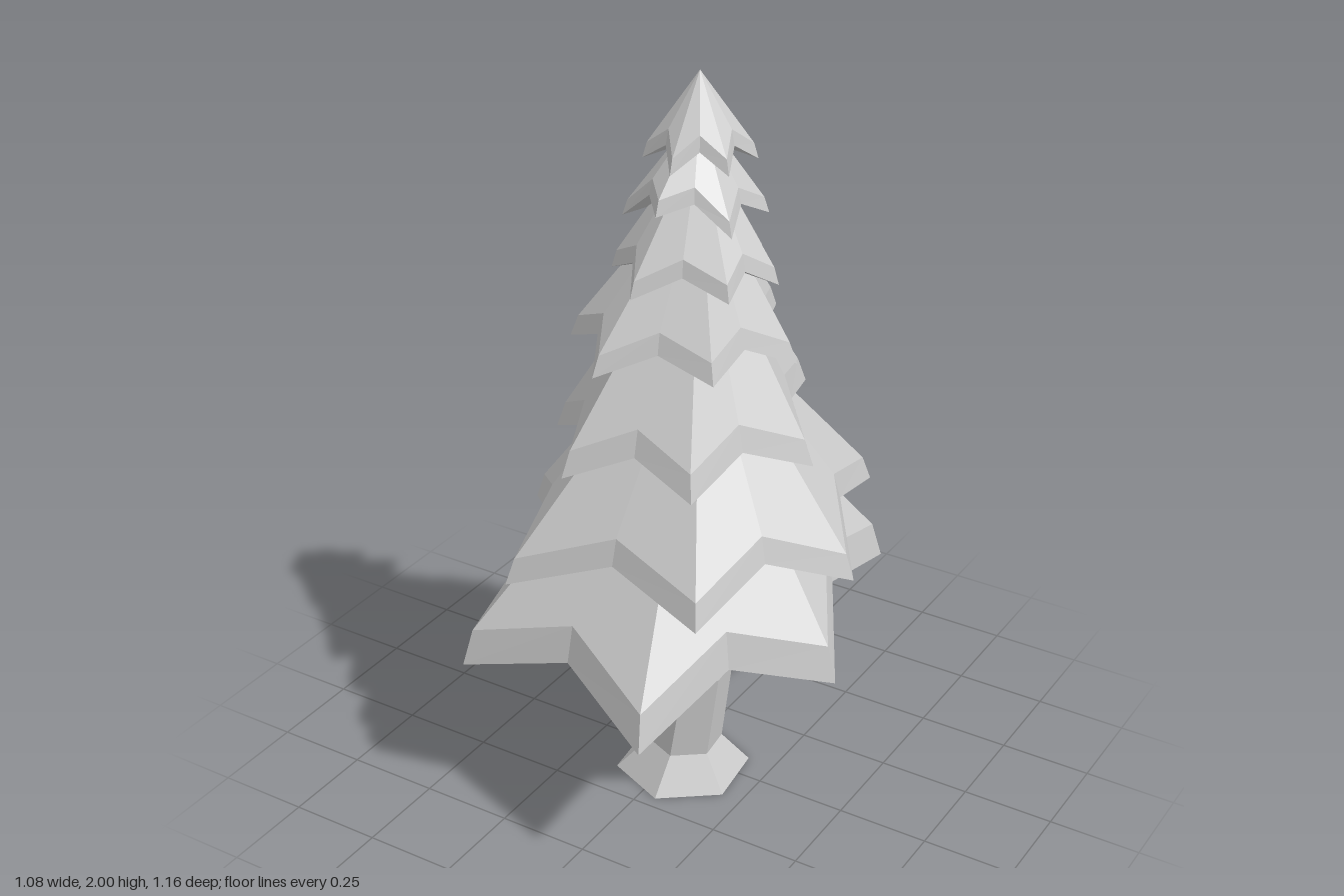
import * as THREE from 'three';

const material = new THREE.MeshStandardMaterial({ color: 0xcccccc, flatShading: true });
const v = (x, y, z) => new THREE.Vector3(x, y, z);

// Skin a stack of rings (bottom to top) and close both ends with a fan.
function loft(name, rings, bottom, top) {
  const pos = [];
  const tri = (...pts) => pts.forEach((p) => pos.push(p.x, p.y, p.z));
  const n = rings[0].length;
  for (let i = 0; i < n; i++) {
    const j = (i + 1) % n;
    tri(rings[0][i], rings[0][j], bottom);
    for (let k = 0; k + 1 < rings.length; k++) {
      const a = rings[k], b = rings[k + 1];
      tri(a[j], a[i], b[i]);
      tri(a[j], b[i], b[j]);
    }
    const last = rings[rings.length - 1];
    tri(last[j], last[i], top);
  }
  const geo = new THREE.BufferGeometry();
  geo.setAttribute('position', new THREE.Float32BufferAttribute(pos, 3));
  geo.computeVertexNormals();
  const mesh = new THREE.Mesh(geo, material);
  mesh.name = name;
  return mesh;
}

// Six evenly spaced [x, y, z] points around a centre.
function hexagon(cx, y, cz, r, degrees) {
  return Array.from({ length: 6 }, (_, i) => {
    const a = THREE.MathUtils.degToRad(degrees + i * 60);
    return [cx + r * Math.cos(a), y, cz + r * Math.sin(a)];
  });
}

// A drooping star-shaped skirt: rim, bevel band, then a slope to the apex.
function branchTier(name, { tips, lift, band, shrink, valley, apex }) {
  const points = tips.map((t) => v(...t));
  const centre = points.reduce((sum, p) => sum.add(p), v(0, 0, 0)).divideScalar(6);
  const inward = (p, s, up) =>
    v(centre.x + (p.x - centre.x) * s, p.y + up, centre.z + (p.z - centre.z) * s);
  const rim = points.flatMap((p, i) => {
    const middle = p.clone().lerp(points[(i + 1) % 6], 0.5);
    return [p, inward(middle, valley, lift)];
  });
  const crease = rim.map((p) => inward(p, shrink, band));
  return loft(name, [rim, crease], inward(centre, 1, lift), v(0.05, apex, 0));
}

export function createModel() {
  const tree = new THREE.Group();
  tree.name = 'pineTree';

  // Bent trunk with a flared foot: [x, y, z, radius]
  const sections = [
    [0.025, 0, 0.035, 0.183], [0.04, 0.1, 0.047, 0.1],
    [0.08, 0.35, 0.05, 0.094], [0.05, 0.6, 0.035, 0.094],
  ];
  const rings = sections.map(([x, y, z, r]) => hexagon(x, y, z, r, 23).map((p) => v(...p)));
  tree.add(loft('trunk', rings, v(0.025, 0, 0.035), v(0.05, 0.62, 0.035)));

  // Branch tiers from the ground up
  const tiers = [
    { tips: [[-0.2, 0.48, -0.585], [0.38, 0.55, -0.42], [0.535, 0.5, 0.13],
      [0.23, 0.44, 0.58], [-0.365, 0.45, 0.495], [-0.54, 0.415, 0.03]],
      lift: 0.1, band: 0.1, shrink: 0.95, valley: 0.85, apex: 1.25 },
    { tips: [[-0.175, 0.755, -0.47], [0.32, 0.755, -0.455], [0.525, 0.75, 0.03],
      [0.32, 0.76, 0.46], [-0.24, 0.72, 0.465], [-0.4, 0.75, 0.09]],
      lift: 0.09, band: 0.07, shrink: 0.95, valley: 0.86, apex: 1.4 },
    { tips: [[-0.18, 1.08, -0.26], [0.18, 1.07, -0.33], [0.39, 1.03, 0.01],
      [0.24, 1.04, 0.35], [-0.11, 1.03, 0.39], [-0.3, 1.01, 0.13]],
      lift: 0.07, band: 0.07, shrink: 0.93, valley: 0.85, apex: 1.64 },
    { tips: [[-0.15, 1.32, -0.16], [0.12, 1.3, -0.27], [0.315, 1.28, -0.03],
      [0.235, 1.31, 0.24], [-0.06, 1.29, 0.32], [-0.23, 1.3, 0.16]],
      lift: 0.055, band: 0.055, shrink: 0.93, valley: 0.84, apex: 1.74 },
    { tips: [[-0.11, 1.48, -0.12], [0.13, 1.46, -0.19], [0.27, 1.49, -0.01],
      [0.235, 1.5, 0.17], [0.01, 1.49, 0.255], [-0.13, 1.495, 0.12]],
      lift: 0.05, band: 0.045, shrink: 0.94, valley: 0.84, apex: 1.84 },
    { tips: [[-0.1, 1.63, -0.09], [0.06, 1.64, -0.17], [0.2, 1.64, -0.08],
      [0.2, 1.635, 0.1], [0.04, 1.685, 0.185], [-0.11, 1.63, 0.1]],
      lift: 0.05, band: 0.04, shrink: 0.93, valley: 0.82, apex: 1.9 },
    { tips: hexagon(0.055, 1.78, 0.005, 0.14, -150),
      lift: 0.05, band: 0.04, shrink: 0.92, valley: 0.78, apex: 2 },
  ];
  tiers.forEach((tier, i) => tree.add(branchTier(`branchTier${i + 1}`, tier)));
  return tree;
}
